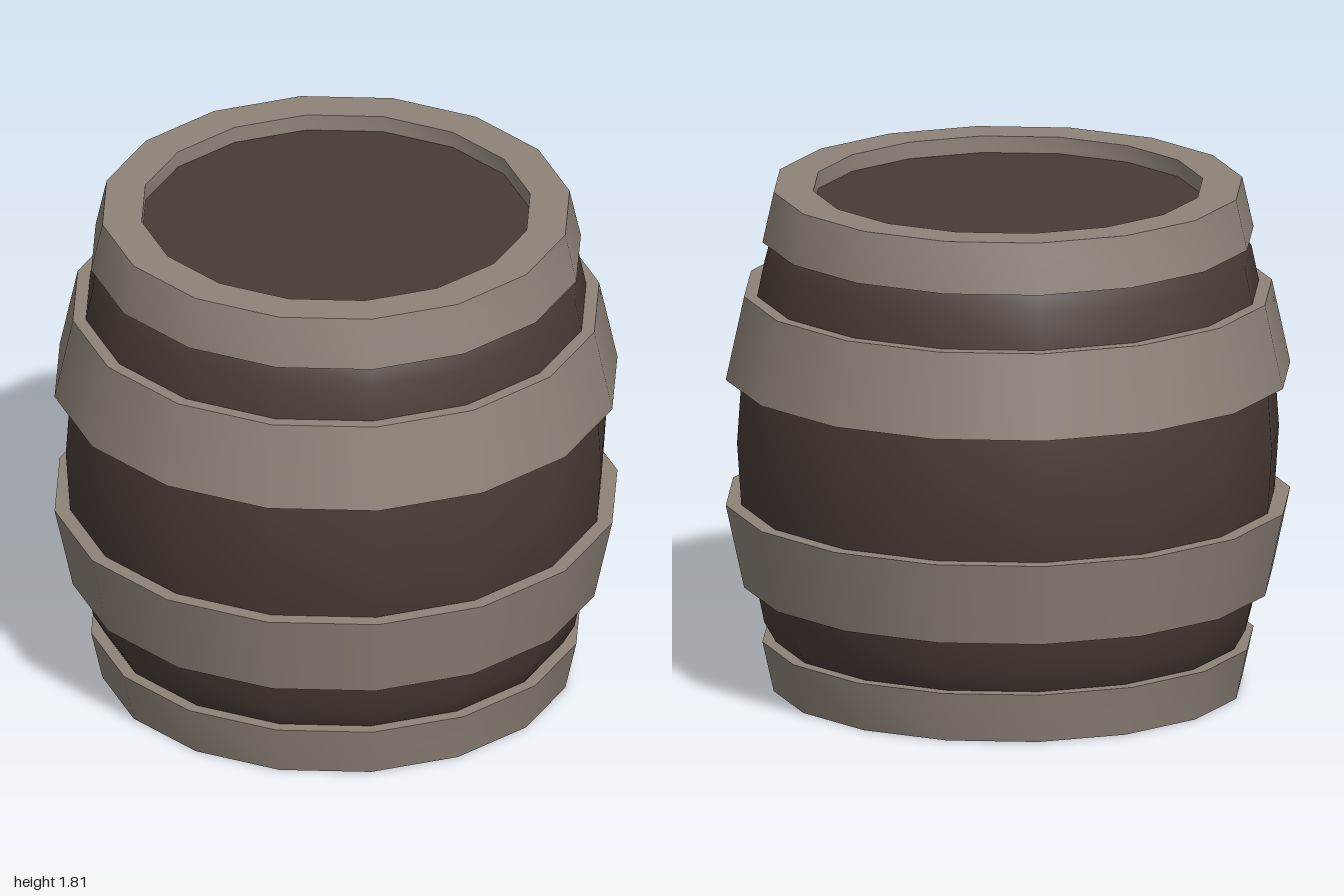
import * as THREE from 'three';
import { toCreasedNormals } from 'three/addons/utils/BufferGeometryUtils.js';

const SIDES = 16;
const HEIGHT = 1.81;

export function createModel() {
  const wood = new THREE.MeshStandardMaterial({ color: 0x483b34, side: THREE.DoubleSide });
  wood.name = 'darkWood';
  const iron = new THREE.MeshStandardMaterial({ color: 0x8e8378, side: THREE.DoubleSide });
  iron.name = 'greyIron';

  const barrel = new THREE.Group();
  barrel.name = 'barrel';

  const add = (name, geometry, material, y = 0) => {
    const mesh = new THREE.Mesh(geometry, material);
    mesh.name = name;
    mesh.position.y = y;
    barrel.add(mesh);
    return mesh;
  };
  const lathe = (points) =>
    new THREE.LatheGeometry(points.map(([r, y]) => new THREE.Vector2(r, y)), SIDES);

  // Bulging staves, mirrored about mid-height and open at the bottom
  const lower = [[0.75, 0.06], [0.823, 0.18], [0.863, 0.25], [0.89, 0.38], [0.945, 0.68]];
  const upper = lower.map(([r, y]) => [r, HEIGHT - y]).reverse();
  add('staves', lathe([...lower, [0.96, HEIGHT / 2], ...upper]), wood);

  // Recessed lid
  const lid = new THREE.CircleGeometry(0.75, SIDES);
  lid.rotateX(-Math.PI / 2);
  add('lid', lid, wood, 1.75);

  // Wide middle hoops, flaring towards the waist
  add('upperHoop', new THREE.CylinderGeometry(0.935, 1, 0.3, SIDES), iron, 1.285);
  add('lowerHoop', new THREE.CylinderGeometry(1, 0.935, 0.3, SIDES), iron, 0.53);

  // Top rim: underside, sloped outside, flat lip, inner wall
  const topRim = lathe([[0.79, 1.63], [0.87, 1.63], [0.83, HEIGHT], [0.69, HEIGHT], [0.69, 1.73]]);
  add('topRim', toCreasedNormals(topRim, 0.6), iron);

  // Bottom rim: sloped outside with a ledge, and a separate inner wall
  const bottomRim = lathe([[0.83, 0], [0.87, 0.18], [0.8, 0.18]]);
  add('bottomRim', toCreasedNormals(bottomRim, 0.6), iron);
  add('bottomInnerWall', lathe([[0.69, 0.18], [0.69, 0]]), iron);

  return barrel;
}
